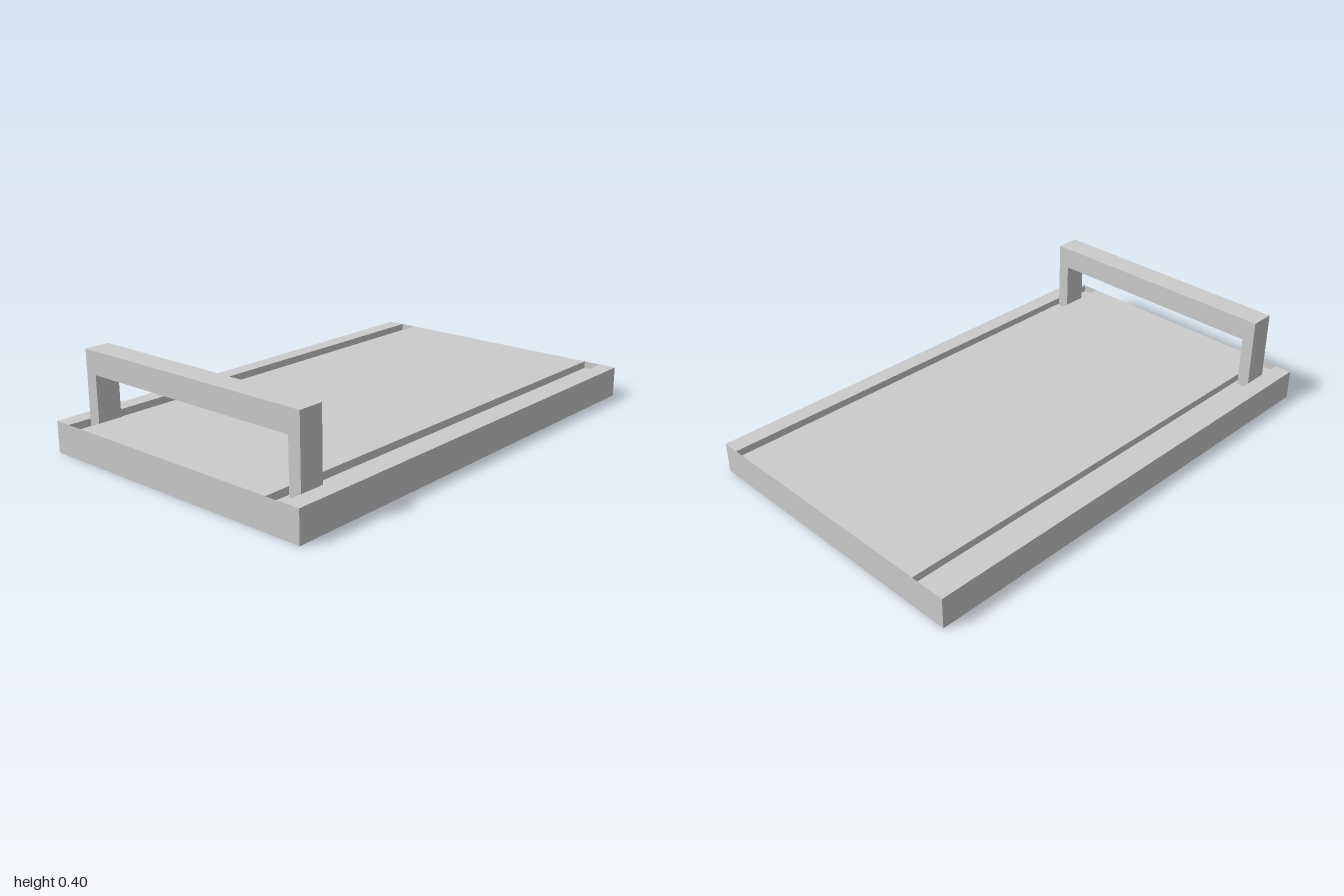
import * as THREE from 'three';

const material = new THREE.MeshStandardMaterial({ color: 0xcccccc, flatShading: true });
const thinMaterial = new THREE.MeshStandardMaterial({ color: 0xcccccc, flatShading: true, side: THREE.DoubleSide });

// Extrude a (z, y) outline along x, from x0 to x1
function extrudeAlongX(name, points, x0, x1) {
  const shape = new THREE.Shape(points.map(([z, y]) => new THREE.Vector2(-z, y)));
  const geometry = new THREE.ExtrudeGeometry(shape, { depth: x1 - x0, bevelEnabled: false });
  geometry.rotateY(Math.PI / 2);
  geometry.translate(x0, 0, 0);
  // after the turn, shape x runs along -z, so z is the outline's own z
  const mesh = new THREE.Mesh(geometry, material);
  mesh.name = name;
  return mesh;
}

export function createModel() {
  const group = new THREE.Group();
  group.name = 'trayWithHandle';

  const halfLength = 1, halfWidth = 0.625, top = 0.127;
  const grooveOuter = 0.553, grooveInner = 0.478, grooveFloor = top - 0.03;

  // Base slab with two long grooves in its top
  group.add(extrudeAlongX('base', [
    [-halfWidth, 0], [halfWidth, 0], [halfWidth, top],
    [grooveOuter, top], [grooveOuter, grooveFloor], [grooveInner, grooveFloor], [grooveInner, top],
    [-grooveInner, top], [-grooveInner, grooveFloor], [-grooveOuter, grooveFloor], [-grooveOuter, top],
    [-halfWidth, top],
  ], -halfLength, halfLength));

  // Thin plates closing the groove ends
  for (const sx of [-1, 1]) {
    for (const sz of [-1, 1]) {
      const cap = new THREE.Mesh(
        new THREE.PlaneGeometry(grooveOuter - grooveInner, top - grooveFloor), thinMaterial);
      cap.name = 'grooveEnd';
      cap.rotation.y = sx * Math.PI / 2;
      cap.position.set(sx * halfLength, (top + grooveFloor) / 2, sz * (grooveOuter + grooveInner) / 2);
      group.add(cap);
    }
  }

  // Bridge handle whose legs stand in the grooves
  const out = 0.545, inn = 0.493, high = 0.404, under = 0.311;
  group.add(extrudeAlongX('handle', [
    [-out, grooveFloor], [-inn, grooveFloor], [-inn, under], [inn, under],
    [inn, grooveFloor], [out, grooveFloor], [out, high], [-out, high],
  ], -0.907, -0.804));

  return group;
}
